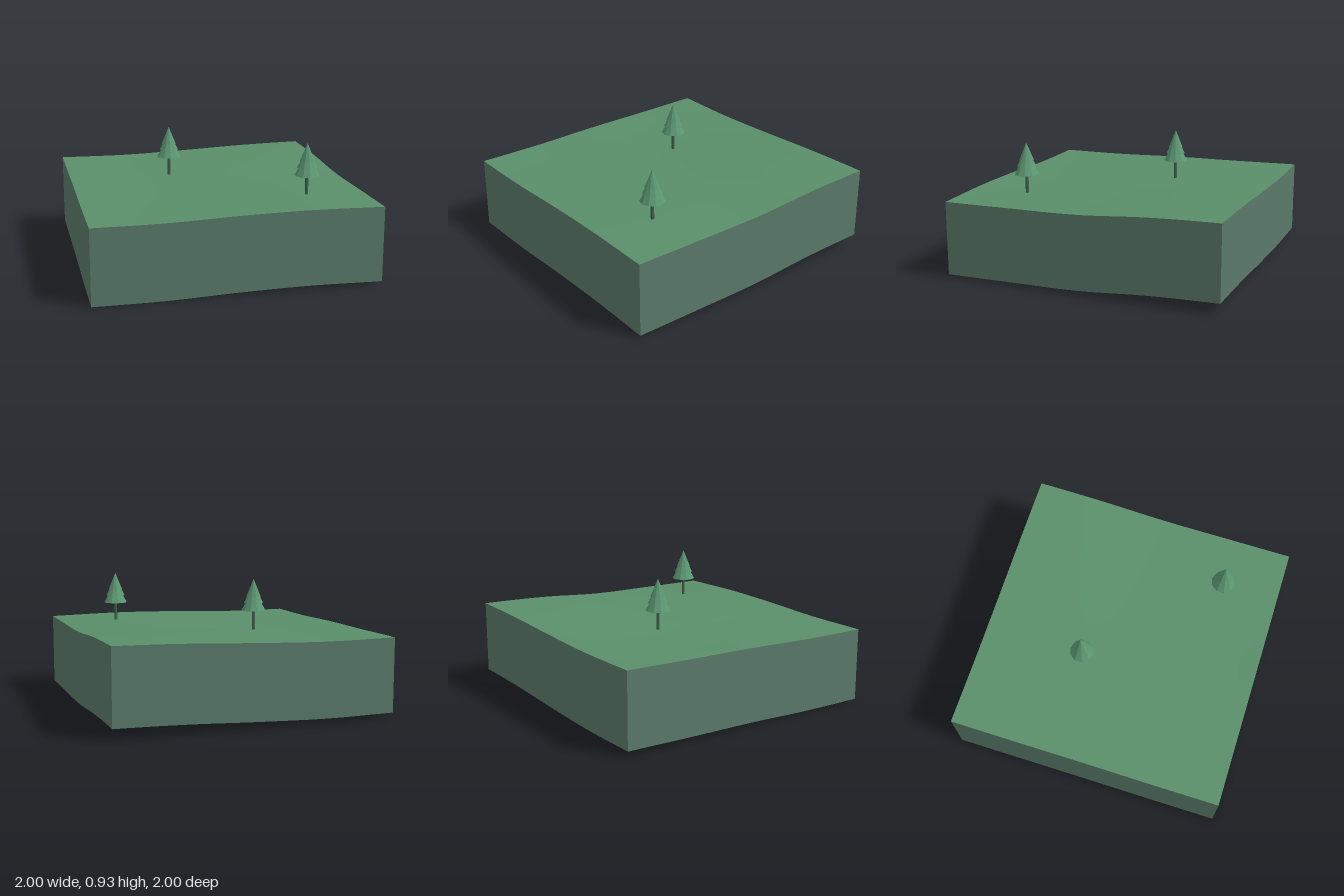
import * as THREE from 'three';

const SEG = 32;      // terrain grid divisions
const DEPTH = 0.53;  // wall height

const grass = new THREE.MeshStandardMaterial({ name: 'grass green', color: 0x5a8f6a, side: THREE.DoubleSide });
const earth = new THREE.MeshStandardMaterial({ name: 'grey green earth', color: 0x5a7a6a, side: THREE.DoubleSide });
const needles = new THREE.MeshStandardMaterial({ name: 'needle green', color: 0x5c9873, flatShading: true });
const bark = new THREE.MeshStandardMaterial({ name: 'dark bark', color: 0x40604a, flatShading: true });

// Height curves along the four borders, parameter 0..1
const edge = (heights) => {
  const curve = new THREE.SplineCurve(heights.map((h, i) => new THREE.Vector2(i, h)));
  return (t) => curve.getPoint(t).y;
};
const back = edge([0.57, 0.567, 0.583, 0.605, 0.616]);   // x from -1 to 1
const front = edge([0.533, 0.535, 0.554, 0.563, 0.556]);
const left = edge([0.616, 0.601, 0.567, 0.56, 0.556]);   // z from -1 to 1
const right = edge([0.57, 0.56, 0.553, 0.537, 0.533]);

// Smooth blend of the borders over the whole plot
function groundHeight(x, z) {
  const u = (x + 1) / 2, v = (z + 1) / 2, mix = THREE.MathUtils.lerp;
  const corners = mix(mix(back(0), back(1), u), mix(front(0), front(1), u), v);
  return mix(back(u), front(u), v) + mix(right(v), left(v), u) - corners;
}

function createGround() {
  const geometry = new THREE.PlaneGeometry(2, 2, SEG, SEG).rotateX(-Math.PI / 2);
  const p = geometry.attributes.position;
  for (let i = 0; i < p.count; i++) p.setY(i, groundHeight(p.getX(i), p.getZ(i)));
  geometry.computeVertexNormals();
  const mesh = new THREE.Mesh(geometry, grass);
  mesh.name = 'ground';
  return mesh;
}

// One side wall: a strip whose top and bottom both follow the ground
function createWall(name, cornerA, cornerB) {
  const geometry = new THREE.PlaneGeometry(1, 1, SEG, 1);
  const p = geometry.attributes.position;
  for (let i = 0; i < p.count; i++) {
    const t = p.getX(i) + 0.5;
    const x = THREE.MathUtils.lerp(cornerA[0], cornerB[0], t);
    const z = THREE.MathUtils.lerp(cornerA[1], cornerB[1], t);
    p.setXYZ(i, x, groundHeight(x, z) - (p.getY(i) < 0 ? DEPTH : 0), z);
  }
  geometry.computeVertexNormals();
  const mesh = new THREE.Mesh(geometry, earth);
  mesh.name = name;
  return mesh;
}

function createTree(x, z) {
  const tree = new THREE.Group();
  tree.name = 'tree';
  const trunk = new THREE.Mesh(new THREE.CylinderGeometry(0.012, 0.012, 0.16, 8), bark);
  trunk.name = 'trunk';
  trunk.position.y = 0.64;
  tree.add(trunk);
  // Three stacked cones: radius, base, apex
  [[0.088, 0.7, 0.86], [0.07, 0.755, 0.895], [0.053, 0.8, 0.93]].forEach(([r, base, apex]) => {
    const tier = new THREE.Mesh(new THREE.ConeGeometry(r, apex - base, 10), needles);
    tier.name = 'foliageTier';
    tier.position.y = (base + apex) / 2;
    tree.add(tier);
  });
  tree.position.set(x, 0, z);
  return tree;
}

export function createModel() {
  const model = new THREE.Group();
  model.name = 'terrainPlot';
  model.add(
    createGround(),
    createWall('frontWall', [-1, 1], [1, 1]),
    createWall('leftWall', [1, 1], [1, -1]),
    createWall('backWall', [1, -1], [-1, -1]),
    createWall('rightWall', [-1, -1], [-1, 1]),
    createTree(-0.25, -0.25),
    createTree(0.58, 0.58),
  );
  return model;
}
